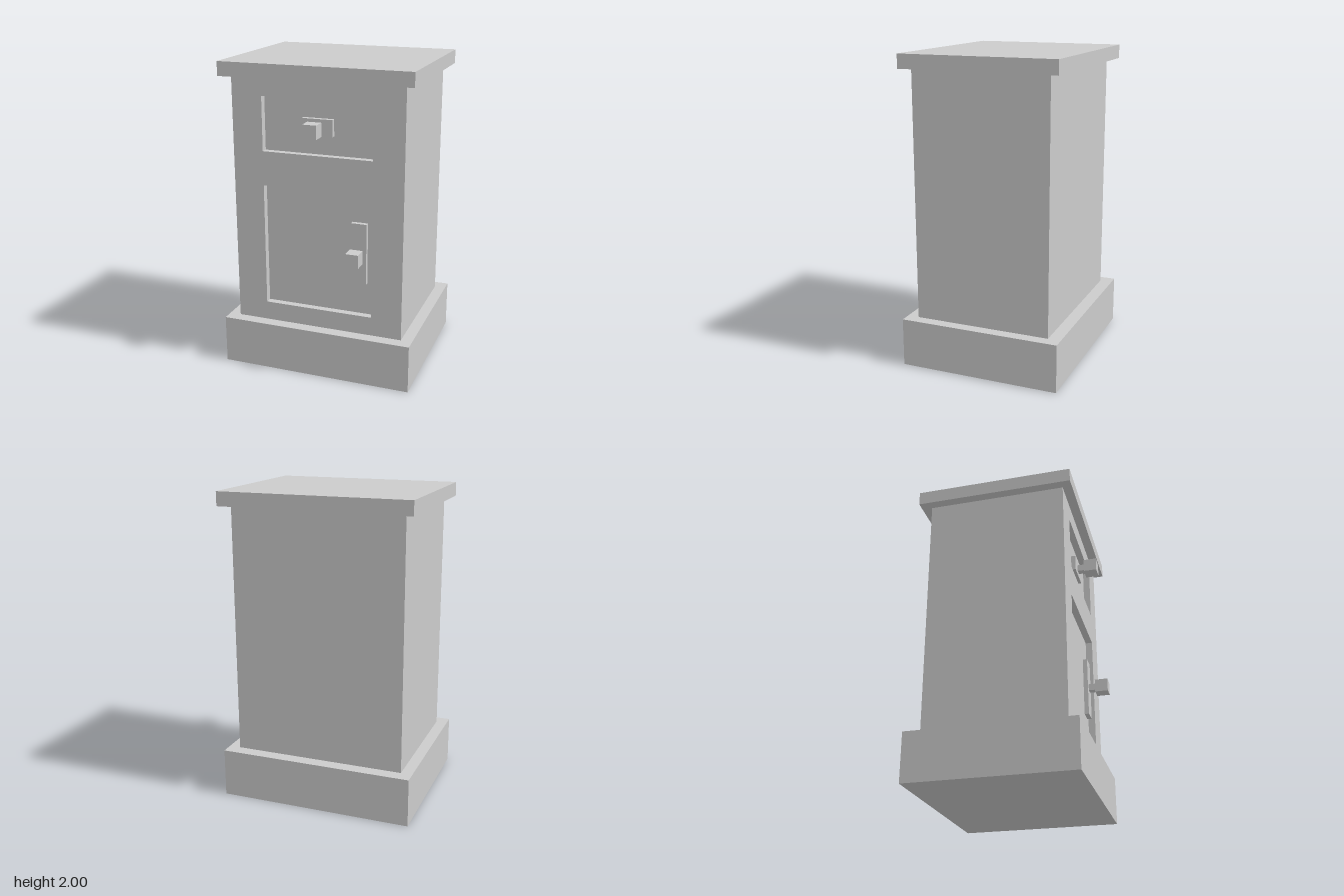
import * as THREE from 'three';

const material = new THREE.MeshStandardMaterial({ color: 0xcccccc, flatShading: true });

// Box given by its limits on each axis
function block(name, [x0, x1], [y0, y1], [z0, z1]) {
  const mesh = new THREE.Mesh(new THREE.BoxGeometry(x1 - x0, y1 - y0, z1 - z0), material);
  mesh.position.set((x0 + x1) / 2, (y0 + y1) / 2, (z0 + z1) / 2);
  mesh.name = name;
  return mesh;
}

function rectangle(target, [x0, x1], [y0, y1]) {
  target.moveTo(x0, y0);
  target.lineTo(x1, y0);
  target.lineTo(x1, y1);
  target.lineTo(x0, y1);
  target.closePath();
  return target;
}

const FRONT = 0.43;
const RECESS = 0.385;

// Back plate, stem and square knob
function handle(name, x, y, plateX, plateY, half) {
  const group = new THREE.Group();
  group.name = name;
  group.add(
    block('backPlate', plateX, plateY, [RECESS, 0.414]),
    block('stem', [x - 0.022, x + 0.022], [y - 0.022, y + 0.022], [0.414, 0.46]),
    block('knob', [x - half, x + half], [y - 0.043, y + 0.043], [0.46, 0.545])
  );
  return group;
}

export function createModel() {
  const model = new THREE.Group();
  model.name = 'bedsideCabinet';

  // Plinth, carcass and top slab
  model.add(
    block('base', [-0.628, 0.628], [0, 0.312], [-0.542, 0.506]),
    block('body', [-0.555, 0.555], [0.312, 1.91], [-0.46, RECESS]),
    block('top', [-0.617, 0.617], [1.91, 2], [-0.528, 0.49])
  );

  // Front frame with openings for the sunken drawer and door panels
  const frame = rectangle(new THREE.Shape(), [-0.555, 0.555], [0.312, 1.91]);
  for (const span of [[1.45, 1.795], [0.435, 1.23]]) {
    frame.holes.push(rectangle(new THREE.Path(), [-0.357, 0.357], span));
  }
  const front = new THREE.Mesh(
    new THREE.ExtrudeGeometry(frame, { depth: FRONT - RECESS, bevelEnabled: false }), material);
  front.position.z = RECESS;
  front.name = 'frontFrame';
  model.add(front);

  // Handles
  model.add(
    handle('drawerHandle', 0, 1.622, [-0.098, 0.098], [1.57, 1.675], 0.045),
    handle('doorHandle', 0.267, 0.845, [0.217, 0.317], [0.645, 1.042], 0.041)
  );
  return model;
}
